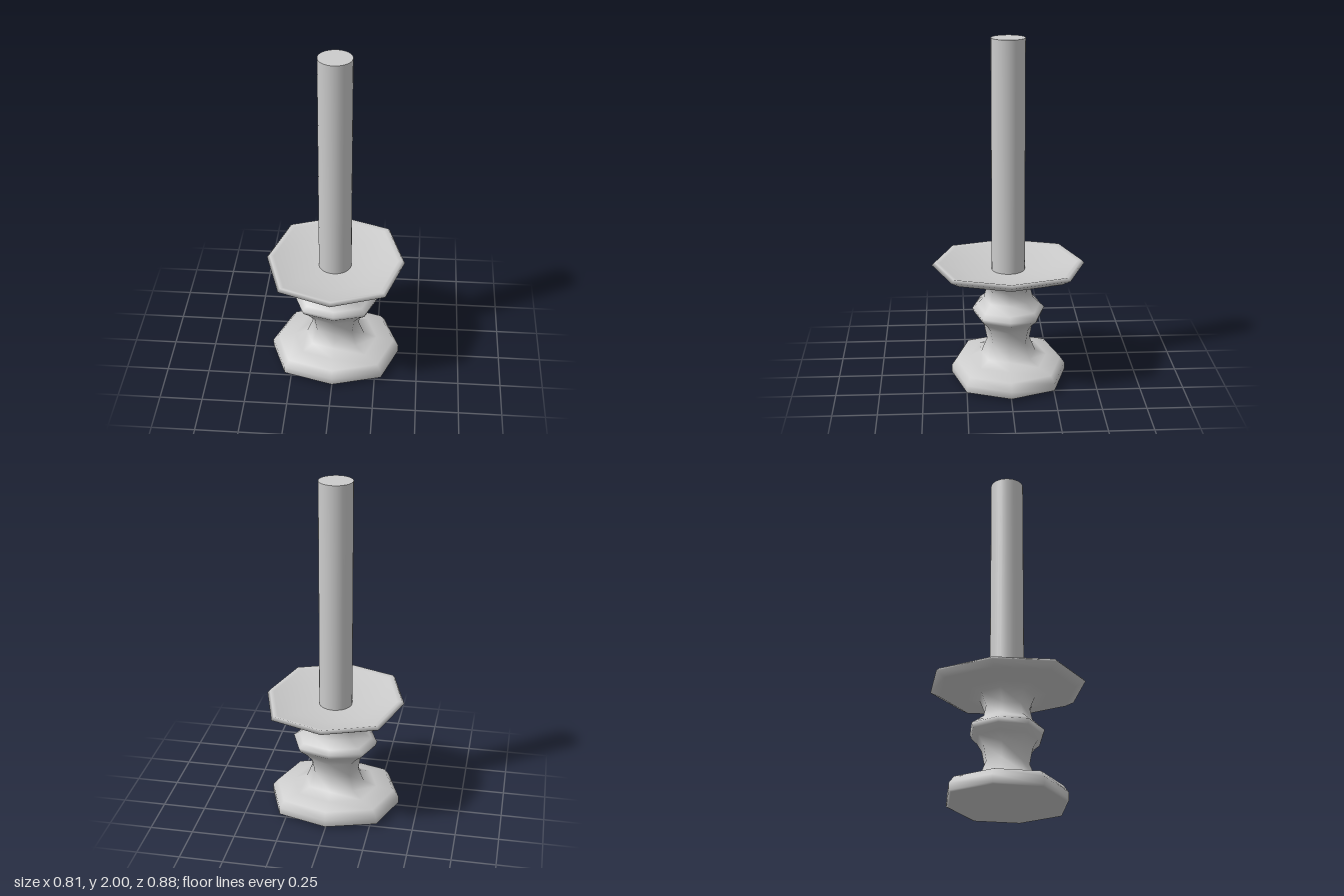
import * as THREE from 'three';
import { mergeVertices } from 'three/addons/utils/BufferGeometryUtils.js';

const material = new THREE.MeshStandardMaterial({ color: 0xcccccc });

// Rings of the turned holder, bottom to top: [y, half width in x, half depth in z]
const rings = [
  [0, 0, 0], [0, 0.1, 0.1], [0.012, 0.37, 0.322], // underside
  [0.018, 0.385, 0.335], [0.06, 0.385, 0.335], [0.1, 0.352, 0.308], // foot
  [0.118, 0.25, 0.225], [0.145, 0.175, 0.16], [0.23, 0.14, 0.125], // lower neck
  [0.32, 0.155, 0.143], [0.365, 0.2, 0.17], [0.395, 0.24, 0.2], // knob
  [0.422, 0.25, 0.21], [0.445, 0.215, 0.185], [0.485, 0.152, 0.143],
  [0.55, 0.14, 0.128], [0.62, 0.178, 0.157], // upper neck
  [0.635, 0.24, 0.235], [0.66, 0.365, 0.385], [0.69, 0.405, 0.442], // drip plate
  [0.708, 0.39, 0.425], [0.7, 0.365, 0.398], [0.672, 0.25, 0.27],
  [0.66, 0.1, 0.1], [0.66, 0, 0],
];

// Eight-sided oval lathe: each ring gets its own depth, corners pushed slightly out
function ovalLathe(list, sides) {
  const geometry = new THREE.LatheGeometry(list.map(([y, rx]) => new THREE.Vector2(rx, y)), sides);
  const p = geometry.attributes.position;
  for (let i = 0; i < p.count; i++) {
    const [y, rx, rz] = list[i % list.length];
    const k = Math.floor(i / list.length) % sides;
    const a = (k / sides) * Math.PI * 2;
    const bulge = k % 2 ? 1.06 : 1;
    p.setXYZ(i, rx * Math.sin(a) * bulge, y, rz * Math.cos(a) * bulge);
  }
  // weld the seam so the shading stays smooth all round
  geometry.deleteAttribute('normal');
  geometry.deleteAttribute('uv');
  const welded = mergeVertices(geometry, 1e-5);
  welded.computeVertexNormals();
  return welded;
}

export function createModel() {
  const group = new THREE.Group();
  group.name = 'candlestick';

  const holder = new THREE.Mesh(ovalLathe(rings, 8), material);
  holder.name = 'holder';
  group.add(holder);

  // candle standing in the dished plate
  const bottom = 0.64;
  const candle = new THREE.Mesh(new THREE.CylinderGeometry(0.096, 0.096, 2 - bottom, 32), material);
  candle.name = 'candle';
  candle.position.set(-0.003, (2 + bottom) / 2, 0);
  group.add(candle);

  return group;
}
